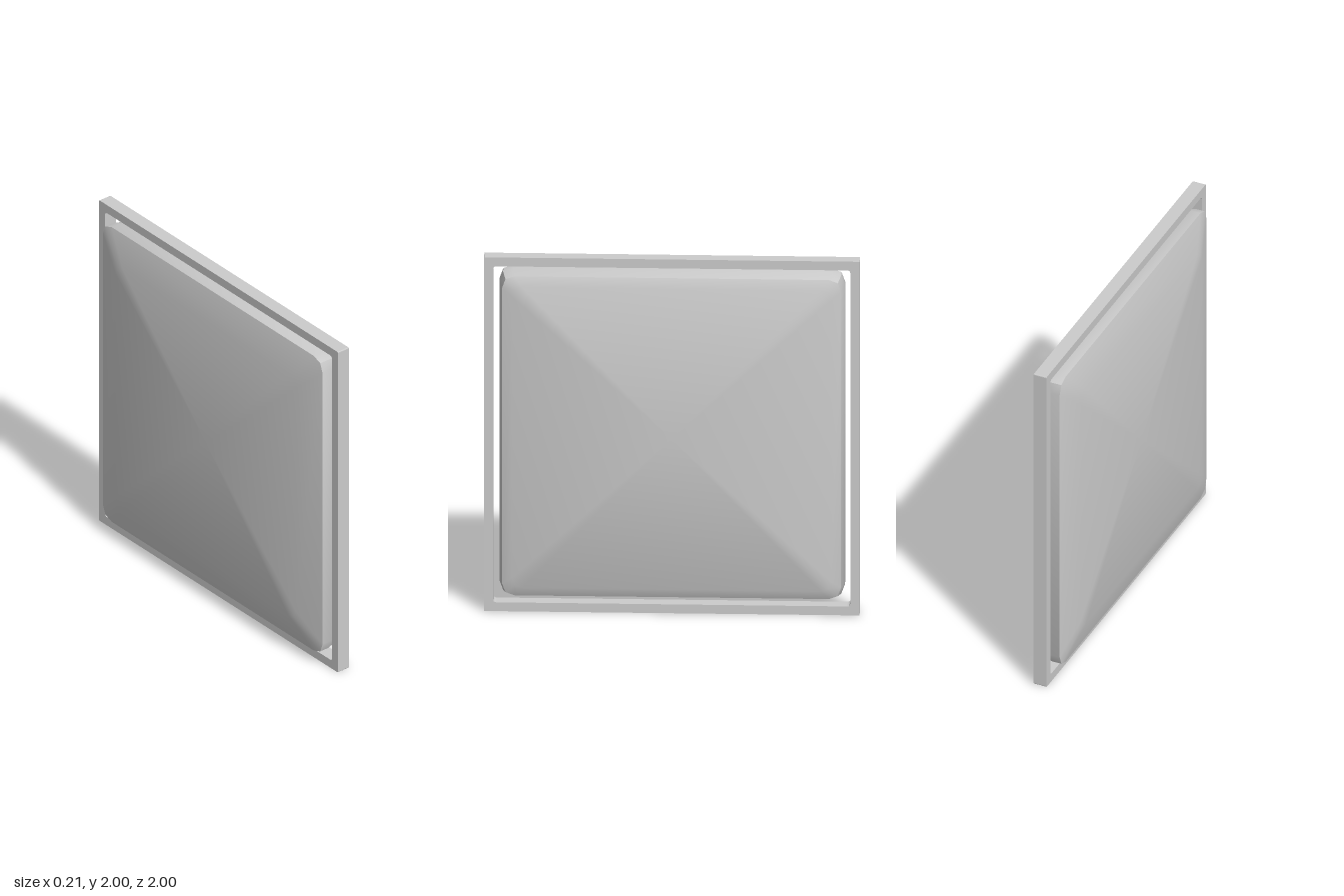
import * as THREE from 'three';
import { toCreasedNormals } from 'three/addons/utils/BufferGeometryUtils.js';

const material = new THREE.MeshStandardMaterial({ color: 0xcccccc });

// Square outline with small rounded corners
function roundedSquare(path, h, r) {
  path.moveTo(h, h - r);
  path.quadraticCurveTo(h, h, h - r, h);
  path.lineTo(-h + r, h);
  path.quadraticCurveTo(-h, h, -h, h - r);
  path.lineTo(-h, -h + r);
  path.quadraticCurveTo(-h, -h, -h + r, -h);
  path.lineTo(h - r, -h);
  path.quadraticCurveTo(h, -h, h, -h + r);
  path.closePath();
  return path;
}

// Cross-section of the panel: three points per corner, in the y-z plane
function ring(x, h, c) {
  const m = c * 0.27, points = [];
  for (let q = 0; q < 4; q++) {
    for (let [y, z] of [[h, h - c], [h - m, h - m], [h - c, h]]) {
      for (let k = 0; k < q; k++) [y, z] = [-z, y];
      points.push(new THREE.Vector3(x, y, z));
    }
  }
  return points;
}

// Skin over the cross-sections, closed at both ends
function loft(rings) {
  const positions = [];
  const tri = (...corners) => corners.forEach((p) => positions.push(p.x, p.y, p.z));
  const n = rings[0].length, last = rings.length - 1;
  const back = new THREE.Vector3(rings[0][0].x, 0, 0);
  const front = new THREE.Vector3(rings[last][0].x, 0, 0);
  for (let j = 0; j < n; j++) {
    const k = (j + 1) % n;
    for (let i = 0; i < last; i++) {
      tri(rings[i][j], rings[i][k], rings[i + 1][j]);
      tri(rings[i][k], rings[i + 1][k], rings[i + 1][j]);
    }
    tri(back, rings[0][k], rings[0][j]);
    tri(front, rings[last][j], rings[last][k]);
  }
  const geometry = new THREE.BufferGeometry();
  geometry.setAttribute('position', new THREE.Float32BufferAttribute(positions, 3));
  return toCreasedNormals(geometry, THREE.MathUtils.degToRad(35));
}

export function createModel() {
  const group = new THREE.Group();
  group.name = 'framedPanel';

  // Thin square frame around the panel
  const outline = roundedSquare(new THREE.Shape(), 1, 0.006);
  outline.holes.push(roundedSquare(new THREE.Path(), 0.95, 0.015));
  const frameGeometry = new THREE.ExtrudeGeometry(outline, {
    depth: 0.075, bevelEnabled: false, curveSegments: 3,
  });
  frameGeometry.rotateY(Math.PI / 2);
  const frame = new THREE.Mesh(frameGeometry, material);
  frame.name = 'frame';
  frame.position.set(-0.015, 1, 0);
  group.add(frame);

  // Panel: wide bevel on one face, narrow bevel on the other
  const panel = new THREE.Mesh(loft([
    ring(-0.105, 0.755, 0.06),
    ring(-0.055, 0.92, 0.075),
    ring(0, 0.92, 0.075),
    ring(0.08, 0.902, 0.065),
    ring(0.105, 0.85, 0.055),
  ]), material);
  panel.name = 'panel';
  panel.position.y = 1;
  group.add(panel);

  return group;
}
